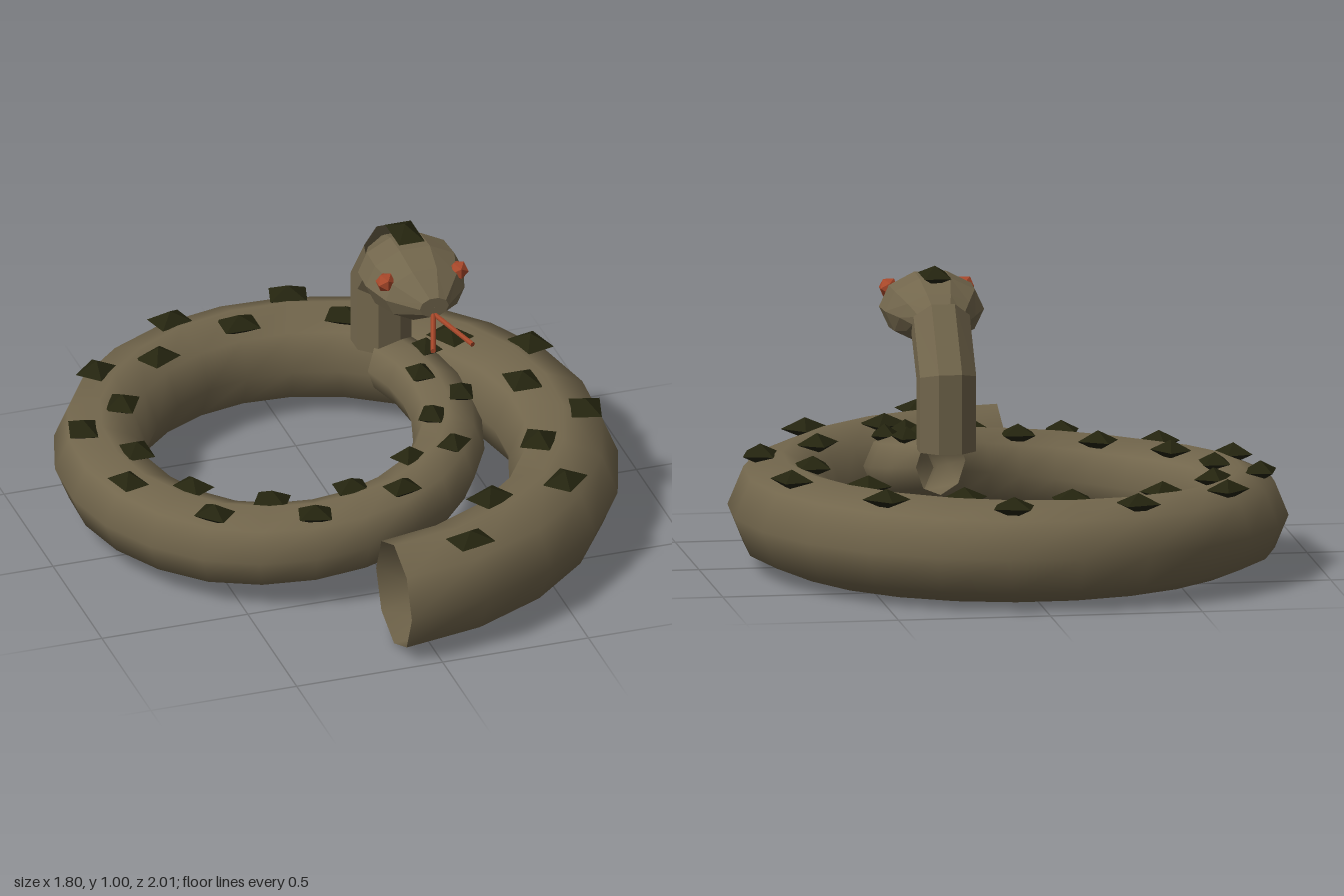
import * as THREE from 'three';

const skin = new THREE.MeshStandardMaterial({ color: 0x72664c, side: THREE.DoubleSide });
skin.name = 'olive skin';
const dark = new THREE.MeshStandardMaterial({ color: 0x24240f });
dark.name = 'dark scales';
const red = new THREE.MeshStandardMaterial({ color: 0xa8482a });
red.name = 'rust red';

const V = (x, y, z) => new THREE.Vector3(x, y, z);

// Elliptical cross-section: half-axis vectors u and w around a centre
function ring(centre, u, w, sides, phase = 0) {
  return Array.from({ length: sides }, (_, i) => {
    const a = phase + (i / sides) * Math.PI * 2;
    return centre.clone().addScaledVector(u, Math.cos(a)).addScaledVector(w, Math.sin(a));
  });
}

// Joins rings into an open skin
function loft(rings, flat) {
  const n = rings[0].length, index = [];
  for (let i = 0; i < rings.length - 1; i++) {
    for (let j = 0; j < n; j++) {
      const k = (j + 1) % n;
      const a = i * n + j, b = i * n + k, c = (i + 1) * n + k, d = (i + 1) * n + j;
      index.push(a, c, b, a, d, c);
    }
  }
  let geo = new THREE.BufferGeometry().setFromPoints(rings.flat());
  geo.setIndex(index);
  if (flat) geo = geo.toNonIndexed();
  geo.computeVertexNormals();
  return geo;
}

// Coil: spiral that tightens, thins and finally rises; t runs from 0 to 1
function coil(t) {
  const deg = -90 + 480 * t, a = THREE.MathUtils.degToRad(deg);
  const R = 0.83 - 0.095 * deg / 90;
  const rise = 0.2 * Math.pow(Math.max(0, (t - 0.65) / 0.35), 1.3);
  const out = V(Math.cos(a), 0, -Math.sin(a));
  const centre = V(-0.11, 0.182 + rise, -0.093).addScaledVector(out, R);
  return { a, out, centre, r: 0.183 - 0.08 * Math.pow(t, 1.6) };
}

// Flat four-sided double pyramid
function scale(length, width, height) {
  return new THREE.OctahedronGeometry(1).rotateY(Math.PI / 4)
    .scale(width * Math.SQRT2, height, length * Math.SQRT2);
}

export function createModel() {
  const model = new THREE.Group();
  model.name = 'snake';
  const add = (name, geo, mat, pos) => {
    const mesh = new THREE.Mesh(geo, mat);
    mesh.name = name;
    if (pos) mesh.position.copy(pos);
    model.add(mesh);
    return mesh;
  };

  // Coiled body
  const bodyRings = [];
  for (let i = 0; i <= 32; i++) {
    const { out, centre, r } = coil(i / 32);
    bodyRings.push(ring(centre, out.clone().multiplyScalar(r), V(0, r, 0), 8));
  }
  add('body', loft(bodyRings, false), skin);

  // Back scales, alternating outer and inner side
  for (let k = 0; k <= 30; k++) {
    const { a, out, centre, r } = coil((k + 1) / 32);
    const pos = centre.clone().addScaledVector(out, (k % 2 ? -0.45 : 0.4) * r);
    pos.y += r * 0.93;
    const s = 0.02 + 0.24 * r;
    add('backScale', scale(s, s * 0.8, 0.035), dark, pos).rotation.y = a;
  }

  // Rings of neck and head: [z1, y1, z2, y2, half width], ends of the middle line
  const section = (sides, phase) => ([z1, y1, z2, y2, hw]) => ring(
    V(0.24, (y1 + y2) / 2, (z1 + z2) / 2),
    V(hw, 0, 0), V(0, (y1 - y2) / 2, (z1 - z2) / 2), sides, phase);

  // Faceted neck
  add('neck', loft([
    [-0.25, 0.435, -0.44, 0.435, 0.1],
    [-0.25, 0.645, -0.44, 0.70, 0.1],
    [-0.16, 0.75, -0.28, 0.91, 0.1],
  ].map(section(8, Math.PI / 8)), true), skin);

  // Faceted head, open at the back
  add('head', loft([
    [0.2, 0.85, 0.2, 0.849, 0.001],
    [0.2, 0.885, 0.2, 0.815, 0.05],
    [0.1, 0.94, 0.11, 0.758, 0.135],
    [0, 0.97, 0, 0.735, 0.168],
    [-0.1, 0.965, -0.09, 0.74, 0.163],
    [-0.19, 0.925, -0.13, 0.76, 0.125],
    [-0.26, 0.88, -0.16, 0.775, 0.09],
  ].map(section(10, 0)), true), skin);
  add('headScale', scale(0.072, 0.044, 0.033), dark, V(0.24, 0.967, -0.1));

  // Eyes and forked tongue
  for (const s of [-1, 1]) {
    add(s > 0 ? 'leftEye' : 'rightEye', new THREE.IcosahedronGeometry(0.034, 0), red,
      V(0.24 + s * 0.125, 0.9, 0.075));
    const root = V(0.24, 0.822, 0.19), tip = V(0.24 + s * 0.068, 0.802, 0.39);
    const dir = tip.clone().sub(root);
    const prong = add('tongueProng', new THREE.CylinderGeometry(0.009, 0.009, dir.length(), 6), red,
      root.clone().lerp(tip, 0.5));
    prong.quaternion.setFromUnitVectors(V(0, 1, 0), dir.normalize());
  }
  return model;
}
